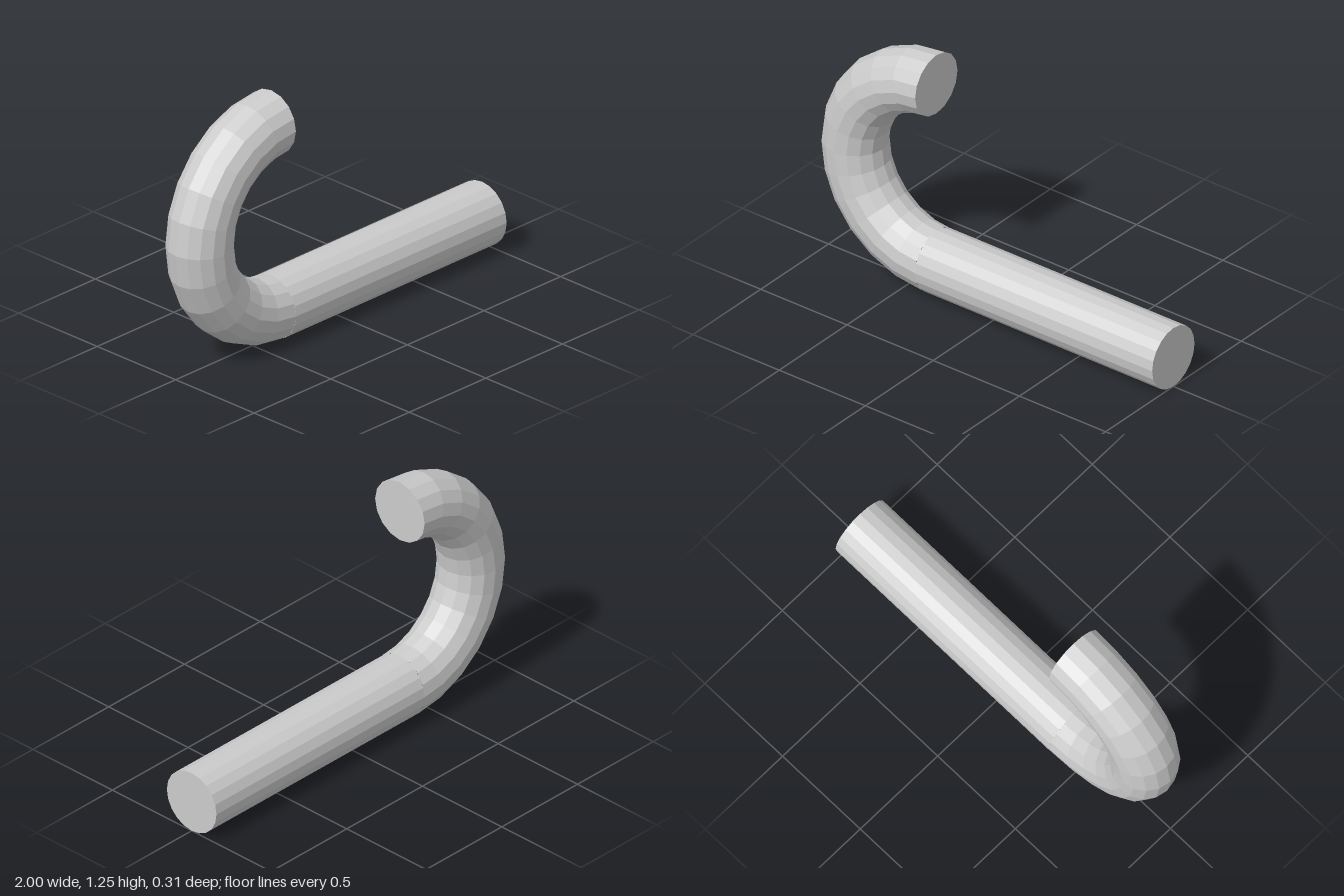
import * as THREE from 'three';

const R = 0.15625;       // bar radius
const BEND = 0.46875;    // centreline radius of the hook
const X0 = -0.375;       // where the straight bar meets the bend

export function createModel() {
  const group = new THREE.Group();
  const material = new THREE.MeshStandardMaterial({ color: 0xcccccc, flatShading: true });
  const add = (name, geometry, x, y) => {
    const mesh = new THREE.Mesh(geometry, material);
    mesh.name = name;
    mesh.position.set(x, y, 0);
    group.add(mesh);
  };

  // Straight bar with closed ends
  const length = 1 - X0;
  add('shank', new THREE.CylinderGeometry(R, R, length, 20).rotateZ(-Math.PI / 2), X0 + length / 2, R);

  // Half-circle bend, from the top round to the bar
  add('hookBend', new THREE.TorusGeometry(BEND, R, 16, 12, Math.PI).rotateZ(Math.PI / 2), X0, R + BEND);

  // Flat end of the bend
  add('hookEndCap', new THREE.CircleGeometry(R, 16).rotateY(Math.PI / 2), X0, R + 2 * BEND);

  return group;
}
